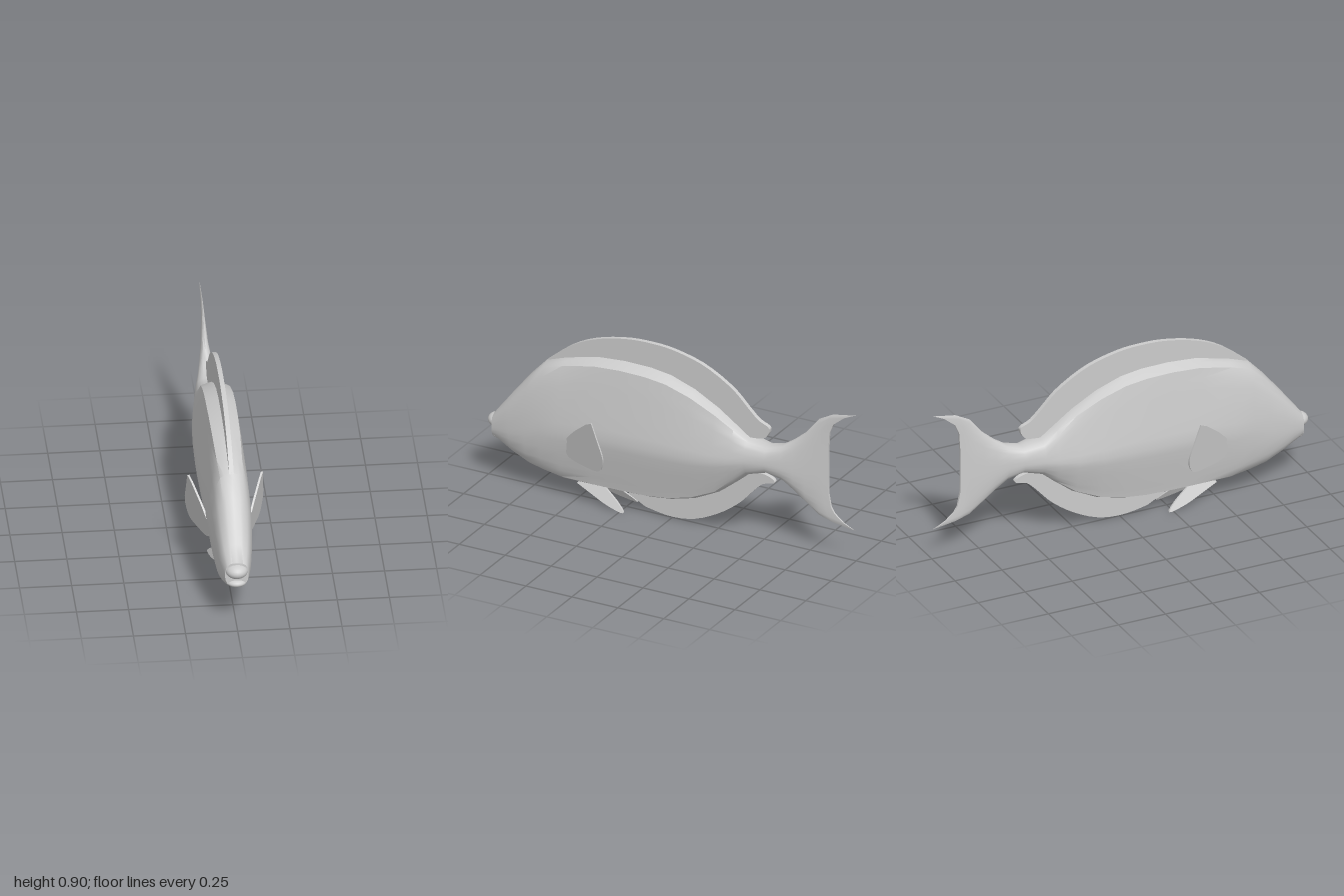
import * as THREE from 'three';
import { toCreasedNormals } from 'three/addons/utils/BufferGeometryUtils.js';

// Body stations: z, top y, bottom y, half width, roundness, backward bow of the ring's ends
const STATIONS = [
  [0.955, 0.355, 0.225, 0.056, 1, 0],
  [0.9, 0.425, 0.195, 0.07, 1, 0],
  [0.85, 0.49, 0.165, 0.079, 1, 0],
  [0.76, 0.6, 0.122, 0.091, 0.9, 0],
  [0.675, 0.69, 0.1, 0.099, 0.7, 0],
  [0.57, 0.727, 0.08, 0.106, 0.4, 0],
  [0.4, 0.77, 0.078, 0.112, 0, 0],
  [0.25, 0.782, 0.08, 0.116, 0, 0],
  [0.11, 0.78, 0.086, 0.118, 0, 0],
  [0, 0.765, 0.1, 0.117, 0, 0],
  [-0.13, 0.72, 0.135, 0.113, 0, 0],
  [-0.26, 0.65, 0.2, 0.104, 0.1, 0],
  [-0.36, 0.58, 0.28, 0.092, 0.4, 0],
  [-0.43, 0.53, 0.34, 0.08, 0.8, 0],
  [-0.53, 0.51, 0.37, 0.063, 1, 0],
  [-0.61, 0.535, 0.345, 0.047, 1, 0],
  [-0.67, 0.575, 0.3, 0.035, 1, 0],
  [-0.73, 0.625, 0.25, 0.024, 1, 0],
  [-0.8, 0.71, 0.2, 0.014, 1, 0],
  [-0.825, 0.75, 0.178, 0.01, 1, 0.05],
  [-0.85, 0.772, 0.16, 0.006, 1, 0.15],
];

// Right half of the angular mid-body section: width fraction, height from -1 to 1
const SECTION = [
  [0, 1], [0.3, 0.96], [0.6, 0.91], [0.67, 0.76], [0.74, 0.6], [0.87, 0.25], [0.96, 0.03],
  [1, -0.12], [0.96, -0.25], [0.83, -0.45], [0.7, -0.68], [0.63, -0.78], [0.56, -0.9], [0.28, -0.95], [0, -1],
];

function bodyGeometry() {
  const half = SECTION.length - 1, ring = half * 2;
  const positions = [], index = [];
  for (const [z, top, bottom, width, round, bow] of STATIONS) {
    for (let j = 0; j < ring; j++) {
      const [hard, v] = SECTION[j <= half ? j : ring - j];
      const soft = Math.pow(1 - Math.pow(Math.abs(v), 3), 0.45);
      const x = width * THREE.MathUtils.lerp(hard, soft, round) * (j <= half ? 1 : -1);
      positions.push(x, (top + bottom) / 2 + v * (top - bottom) / 2, z - bow * Math.pow(Math.abs(v), 6));
    }
  }
  const last = STATIONS.length - 1;
  for (let i = 0; i < last; i++) {
    for (let j = 0; j < ring; j++) {
      const a = i * ring + j, b = i * ring + (j + 1) % ring;
      index.push(a, b, a + ring, b, b + ring, a + ring);
    }
  }
  // Close the snout and the trailing edge of the tail
  for (let j = 0; j < half; j++) {
    const r0 = j, r1 = j + 1, l0 = (ring - j) % ring, l1 = ring - j - 1, e = last * ring;
    if (j < half - 1) index.push(r0, l1, r1, e + r0, e + r1, e + l1);
    if (j > 0) index.push(r0, l0, l1, e + r0, e + l1, e + l0);
  }
  const geometry = new THREE.BufferGeometry();
  geometry.setAttribute('position', new THREE.Float32BufferAttribute(positions, 3));
  geometry.setIndex(index);
  return toCreasedNormals(geometry, 0.7);
}

// Flat fin from a (z, y) outline: a curved outer edge closed by straight base points
function finGeometry(edge, base, thickness, offset = () => 0) {
  const point = ([z, y]) => new THREE.Vector2(-z, y);
  const shape = new THREE.Shape();
  shape.moveTo(-edge[0][0], edge[0][1]);
  shape.splineThru(edge.slice(1).map(point));
  base.forEach(([z, y]) => shape.lineTo(-z, y));
  shape.closePath();
  const geometry = new THREE.ExtrudeGeometry(shape, { depth: thickness, bevelEnabled: false, curveSegments: 3 });
  geometry.translate(0, 0, -thickness / 2).rotateY(Math.PI / 2);
  const p = geometry.attributes.position;
  for (let i = 0; i < p.count; i++) p.setX(i, p.getX(i) + offset(p.getY(i), p.getZ(i)));
  return toCreasedNormals(geometry, 0.6);
}

export function createModel() {
  const model = new THREE.Group();
  model.name = 'fish';
  const grey = new THREE.MeshStandardMaterial({ color: 0xcccccc });
  grey.name = 'light grey';
  const add = (name, geometry) => {
    const mesh = new THREE.Mesh(geometry, grey);
    mesh.name = name;
    model.add(mesh);
    return mesh;
  };

  add('bodyAndTail', bodyGeometry());

  // Lips with a small gap for the mouth
  const lip = (name, y, z, rx, ry, rz) =>
    add(name, new THREE.SphereGeometry(1, 24, 14).scale(rx, ry, rz).translate(0, y, z));
  lip('upperLip', 0.307, 0.942, 0.054, 0.037, 0.056);
  lip('lowerLip', 0.24, 0.93, 0.05, 0.022, 0.046);

  // Fins along the back and belly
  add('dorsalFin', finGeometry(
    [[0.68, 0.685], [0.54, 0.795], [0.405, 0.858], [0.245, 0.895], [0.11, 0.903], [-0.02, 0.893], [-0.18, 0.85],
      [-0.33, 0.765], [-0.42, 0.68], [-0.475, 0.63], [-0.528, 0.605], [-0.53, 0.575], [-0.5, 0.54], [-0.43, 0.53]],
    [[-0.26, 0.6], [0, 0.7], [0.3, 0.72], [0.6, 0.66]], 0.022));
  add('analFin', finGeometry(
    [[0.235, 0.08], [0.165, 0.045], [0.13, 0.03], [0, 0.012], [-0.13, 0.03], [-0.26, 0.09], [-0.37, 0.17],
      [-0.45, 0.255], [-0.5, 0.3], [-0.56, 0.317], [-0.54, 0.342], [-0.475, 0.355], [-0.42, 0.345]],
    [[-0.3, 0.3], [0, 0.17], [0.2, 0.12]], 0.022));

  // Paired fins
  for (const [label, side] of [['left', 1], ['right', -1]]) {
    add(label + 'PectoralFin', finGeometry(
      [[0.345, 0.495], [0.315, 0.42], [0.28, 0.33], [0.29, 0.27], [0.325, 0.24], [0.4, 0.236], [0.485, 0.24],
        [0.525, 0.262], [0.53, 0.33], [0.46, 0.41]],
      [[0.38, 0.477]], 0.01,
      (y, z) => side * (0.096 + 0.35 * (0.52 - z) + 0.1 * (y - 0.3))));
    add(label + 'PelvicFin', finGeometry(
      [[0.5, 0.085], [0.41, 0.052], [0.325, 0.022], [0.23, 0.003], [0.265, 0.04], [0.34, 0.088]],
      [[0.36, 0.12], [0.48, 0.12]], 0.01,
      (y) => side * (0.028 + 0.5 * (0.09 - y))));
  }
  return model;
}
